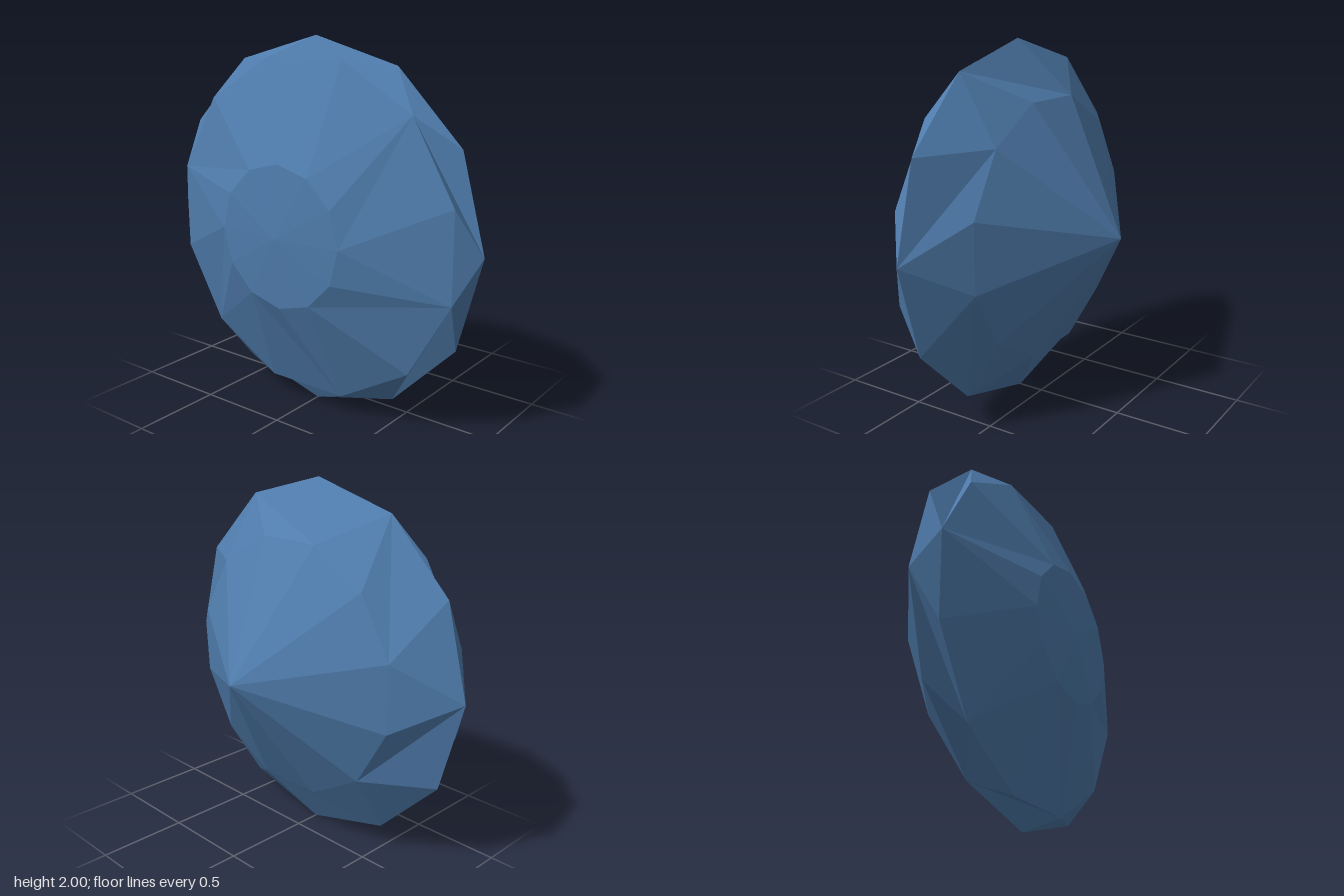
import * as THREE from 'three';

const SIDES = 12;

// Ring of points around the z axis, centred at y = 1; shift is in steps of 30 degrees
function ring(radius, z, shift) {
  return Array.from({ length: SIDES }, (_, i) => {
    const a = ((i + shift) / SIDES) * Math.PI * 2;
    return new THREE.Vector3(radius * Math.cos(a), 1 + radius * Math.sin(a), z);
  });
}

// Facets between an aligned ring and a half-step ring, with the cut alternating
function band(aligned, shifted, flip) {
  const tris = [];
  for (let i = 0; i < SIDES; i++) {
    const j = (i + 1) % SIDES;
    if (i % 2 === 0) {
      tris.push([aligned[i], aligned[j], shifted[j]], [aligned[i], shifted[j], shifted[i]]);
    } else {
      tris.push([aligned[i], aligned[j], shifted[i]], [aligned[j], shifted[j], shifted[i]]);
    }
  }
  return flip ? tris.map(([a, b, c]) => [a, c, b]) : tris;
}

// Facets from a ring to a single point
function fan(points, z, flip) {
  const tip = new THREE.Vector3(0, 1, z);
  return points.map((p, i) => {
    const q = points[(i + 1) % SIDES];
    return flip ? [tip, q, p] : [tip, p, q];
  });
}

export function createModel() {
  const group = new THREE.Group();
  group.name = 'cutGem';
  const gemBlue = new THREE.MeshStandardMaterial({ color: 0x4f7cac, flatShading: true });
  gemBlue.name = 'gemBlue';

  const add = (name, tris) => {
    const geometry = new THREE.BufferGeometry().setFromPoints(tris.flat());
    geometry.computeVertexNormals();
    const mesh = new THREE.Mesh(geometry, gemBlue);
    mesh.name = name;
    group.add(mesh);
  };

  const tableRing = ring(0.38, 0.465, 0);
  const crownRing = ring(0.92, 0.245, 0.5);
  const girdleRing = ring(1, 0.147, 0);
  const pavilionRing = ring(0.72, -0.073, 0.5);

  add('table', fan(tableRing, 0.495, false));
  add('crown', band(tableRing, crownRing, true));
  add('girdleBevel', band(girdleRing, crownRing, false));
  add('upperPavilion', band(girdleRing, pavilionRing, true));
  add('lowerPavilion', fan(pavilionRing, -0.495, true));

  return group;
}
